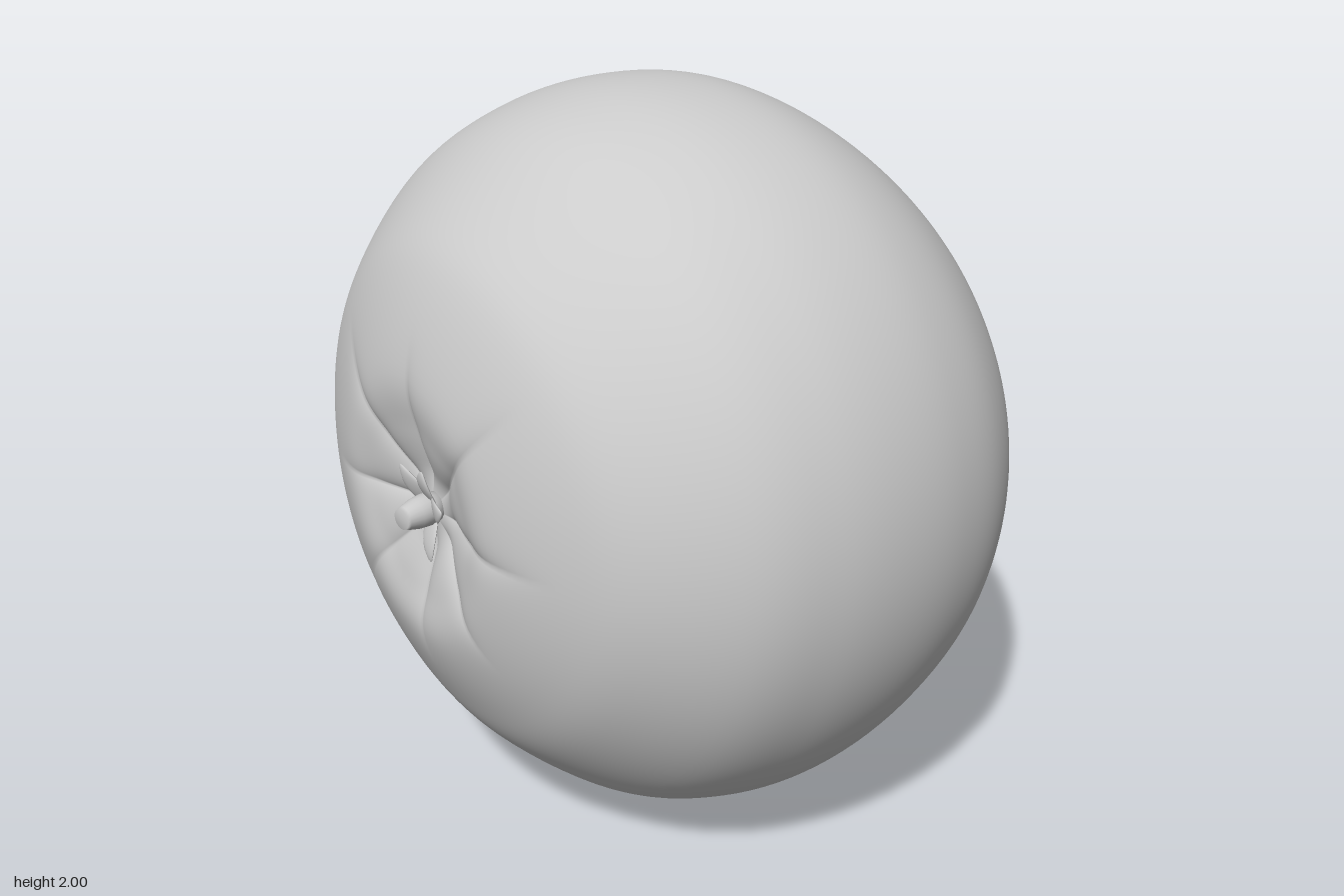
import * as THREE from 'three';

// Flesh profile from back dimple to front dimple: shared depths, one radius list per direction
const DEPTH = [-0.735, -0.765, -0.805, -0.82, -0.765, -0.6, -0.4, -0.2, 0, 0.2, 0.4, 0.6, 0.7, 0.773, 0.762, 0.733, 0.71];
const RADII = {
  left: [0, 0.08, 0.2, 0.35, 0.52, 0.75, 0.905, 0.975, 0.995, 0.975, 0.905, 0.73, 0.57, 0.35, 0.22, 0.1, 0],
  right: [0, 0.08, 0.2, 0.34, 0.5, 0.69, 0.86, 0.965, 1, 0.975, 0.895, 0.71, 0.55, 0.34, 0.22, 0.1, 0],
  up: [0, 0.08, 0.2, 0.35, 0.51, 0.72, 0.88, 0.975, 1, 0.975, 0.895, 0.73, 0.59, 0.37, 0.22, 0.1, 0],
  down: [0, 0.08, 0.2, 0.36, 0.5, 0.7, 0.85, 0.952, 0.995, 0.97, 0.88, 0.7, 0.54, 0.35, 0.22, 0.1, 0],
};
// Reach of the eight folds around the stem, counter-clockwise from +x
const FOLD_REACH = [0.56, 0.6, 0.5, 0.6, 0.46, 0.58, 0.46, 0.46];

const material = new THREE.MeshStandardMaterial({ color: 0xcccccc, roughness: 0.8 });

// Depth of the sharp radial creases at polar position (r, angle)
function foldDepth(r, angle) {
  let depth = 0;
  FOLD_REACH.forEach((reach, k) => {
    const d = angle - (k * Math.PI) / 4;
    const off = Math.abs(Math.atan2(Math.sin(d), Math.cos(d))) * r;
    const fade = THREE.MathUtils.smoothstep(r, 0.02, 0.12) * (1 - THREE.MathUtils.smoothstep(r, 0.12, reach));
    depth += 0.024 * fade * Math.exp(-off / 0.032);
  });
  return depth;
}

// Lathe-like skin whose profile blends between four directions
function fleshGeometry() {
  const rows = (DEPTH.length - 1) * 7, cols = 256;
  const curves = {};
  for (const key in RADII) {
    curves[key] = new THREE.CatmullRomCurve3(
      RADII[key].map((r, i) => new THREE.Vector3(r, 0, DEPTH[i])), false, 'catmullrom', 0.5);
  }
  const position = [], index = [];
  for (let i = 0; i <= rows; i++) {
    const p = {};
    for (const key in curves) p[key] = curves[key].getPoint(i / rows);
    for (let j = 0; j < cols; j++) {
      const angle = (j / cols) * Math.PI * 2, c = Math.cos(angle), s = Math.sin(angle);
      const side = c > 0 ? p.left : p.right, vertical = s > 0 ? p.up : p.down;
      const r = Math.max(0, side.x * c * c + vertical.x * s * s);
      let z = side.z;
      if (z > 0.3) z -= foldDepth(r, angle);
      position.push(r * c, r * s, z);
      if (i < rows) {
        const a = i * cols + j, b = i * cols + ((j + 1) % cols);
        index.push(a, b, a + cols, b, b + cols, a + cols);
      }
    }
  }
  const geometry = new THREE.BufferGeometry();
  geometry.setAttribute('position', new THREE.Float32BufferAttribute(position, 3));
  geometry.setIndex(index);
  geometry.computeVertexNormals();
  return geometry;
}

// Thin pointed leaf along +x, rising gently forward
function leafGeometry(length) {
  const geometry = new THREE.SphereGeometry(1, 16, 20).rotateZ(-Math.PI / 2);
  const pos = geometry.attributes.position;
  for (let i = 0; i < pos.count; i++) {
    const u = (pos.getX(i) + 1) / 2;
    const width = 0.036 * (1 - 0.5 * u * u * u);
    const lift = 0.047 * Math.sin(u * Math.PI * 0.5);
    pos.setXYZ(i, u * length, pos.getY(i) * width, pos.getZ(i) * 0.007 + lift);
  }
  geometry.computeVertexNormals();
  return geometry;
}

export function createModel() {
  const model = new THREE.Group();
  model.name = 'tomato';
  const add = (parent, name, geometry) => {
    const mesh = new THREE.Mesh(geometry, material);
    mesh.name = name;
    parent.add(mesh);
    return mesh;
  };

  add(model, 'flesh', fleshGeometry()).position.y = 1;

  // Calyx: five leaves and a short stub of stem in the front dimple
  const calyx = new THREE.Group();
  calyx.name = 'calyx';
  calyx.position.set(0.01, 1.01, 0.715);
  model.add(calyx);

  const leaves = [[18, 0.12], [78, 0.12], [130, 0.13], [210, 0.135], [290, 0.135]];
  leaves.forEach(([degrees, length], i) => {
    add(calyx, `leaf${i + 1}`, leafGeometry(length)).rotation.z = THREE.MathUtils.degToRad(degrees);
  });

  // Stem stub, tapering to a softly rounded cut end
  const profile = [[0, -0.02], [0.036, -0.02], [0.043, 0.03], [0.04, 0.065], [0.031, 0.1], [0.028, 0.108], [0, 0.108]];
  const stem = add(calyx, 'stem', new THREE.LatheGeometry(profile.map(([r, y]) => new THREE.Vector2(r, y)), 20));
  stem.rotation.set(Math.PI / 2, 0, -0.15);

  return model;
}
